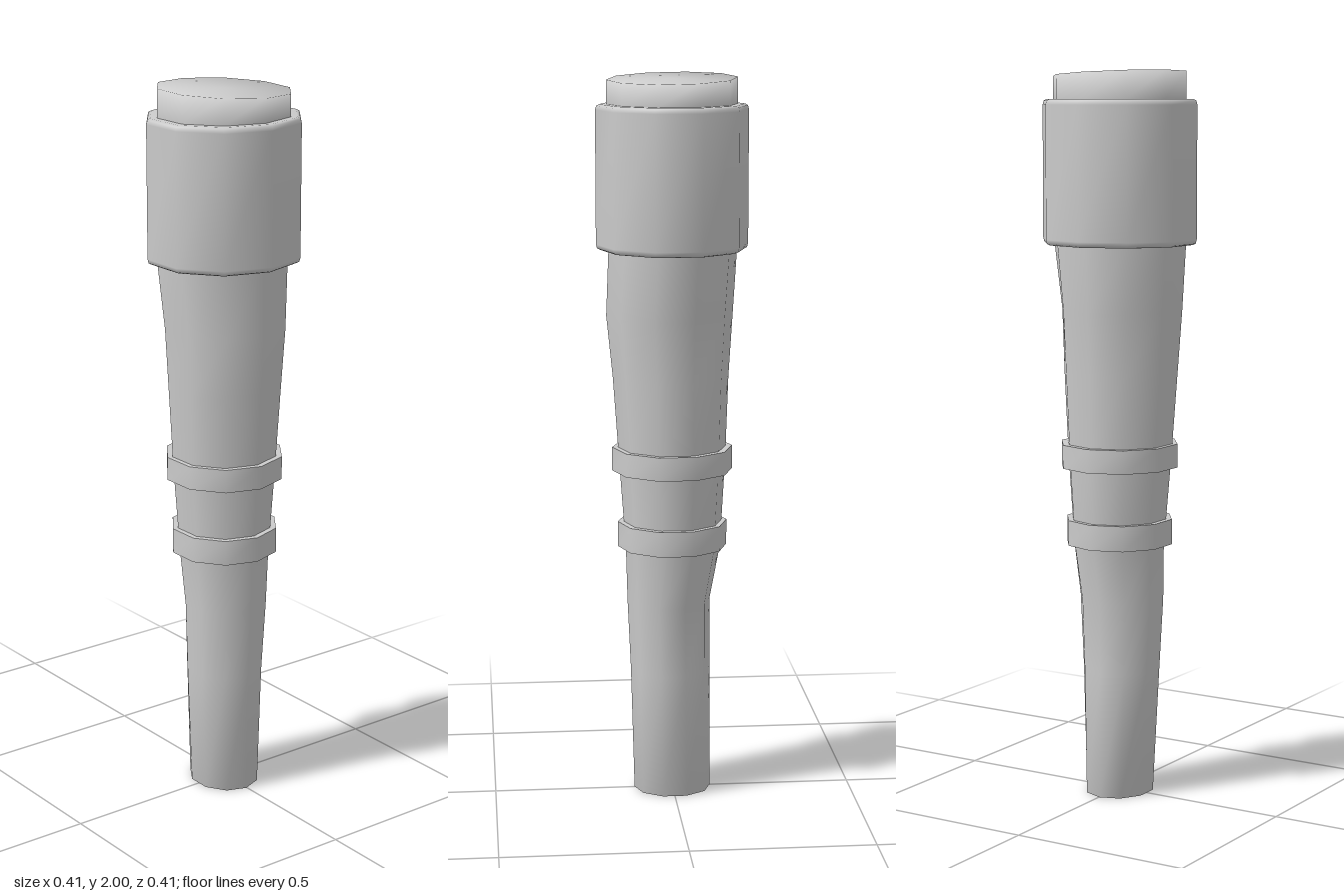
import * as THREE from 'three';
import { toCreasedNormals } from 'three/addons/utils/BufferGeometryUtils.js';

const SIDES = 10;

// Skins ten-sided rings given as [y, radiusX, radiusZ, centreX, centreZ]; capped pieces get end faces.
function loft(sections, { capped = false, tilt = () => 0 } = {}) {
  const pos = [];
  const index = [];
  const last = sections.length - 1;
  sections.forEach(([y, rx, rz, cx = 0, cz = 0], s) => {
    for (let i = 0; i < SIDES; i++) {
      const a = (i / SIDES) * Math.PI * 2;
      const x = cx + rx * Math.cos(a);
      const z = cz + rz * Math.sin(a);
      pos.push(x, y + (s === last ? tilt(x, z) : 0), z);
      if (s === last) continue;
      const p = s * SIDES + i;
      const q = s * SIDES + (i + 1) % SIDES;
      index.push(p, p + SIDES, q, q, p + SIDES, q + SIDES);
    }
  });
  if (capped) {
    const bottom = pos.length / 3;
    const top = bottom + 1;
    const [y0, , , x0 = 0, z0 = 0] = sections[0];
    const [y1, , , x1 = 0, z1 = 0] = sections[last];
    pos.push(x0, y0, z0, x1, y1 + tilt(x1, z1), z1);
    for (let i = 0; i < SIDES; i++) {
      const n = (i + 1) % SIDES;
      index.push(bottom, i, n, top, last * SIDES + n, last * SIDES + i);
    }
  }
  const geometry = new THREE.BufferGeometry();
  geometry.setAttribute('position', new THREE.Float32BufferAttribute(pos, 3));
  geometry.setIndex(index);
  geometry.computeVertexNormals();
  return geometry;
}

export function createModel() {
  const group = new THREE.Group();
  const material = new THREE.MeshStandardMaterial({ color: 0xcccccc });
  const add = (name, geometry) => {
    const mesh = new THREE.Mesh(geometry, material);
    mesh.name = name;
    group.add(mesh);
  };

  // Slightly uneven tapering shaft with a slanted top
  add('shaft', loft([
    [0, 0.107, 0.093, 0, 0.002],
    [0.35, 0.111, 0.108, 0.005, 0.004],
    [0.55, 0.115, 0.119, 0.01, 0.002],
    [0.7, 0.131, 0.127, -0.002, 0],
    [0.95, 0.147, 0.146, 0, 0.001],
    [1.18, 0.159, 0.16, 0.004, 0.002],
    [1.35, 0.173, 0.168, 0.007, 0.004],
    [1.53, 0.175, 0.186, -0.002, 0.003],
    [1.92, 0.177, 0.187],
    [1.988, 0.177, 0.187],
  ], { capped: true, tilt: (x, z) => 0.045 * z - 0.02 * x }));

  // Wide collar with rounded rims
  add('collar', loft([
    [1.53, 0.165, 0.173],
    [1.53, 0.196, 0.206],
    [1.534, 0.204, 0.214],
    [1.545, 0.207, 0.217],
    [1.905, 0.207, 0.217],
    [1.916, 0.204, 0.214],
    [1.92, 0.196, 0.206],
    [1.92, 0.165, 0.173],
  ]));

  // Two sharp-edged bands
  const band = (name, y, height, rx, rz) => add(name, toCreasedNormals(loft([
    [y, rx - 0.04, rz - 0.04],
    [y, rx, rz],
    [y + height, rx, rz],
    [y + height, rx - 0.04, rz - 0.04],
  ]), 0.9));
  band('upperBand', 0.92, 0.065, 0.166, 0.164);
  band('lowerBand', 0.705, 0.07, 0.151, 0.149);

  return group;
}
